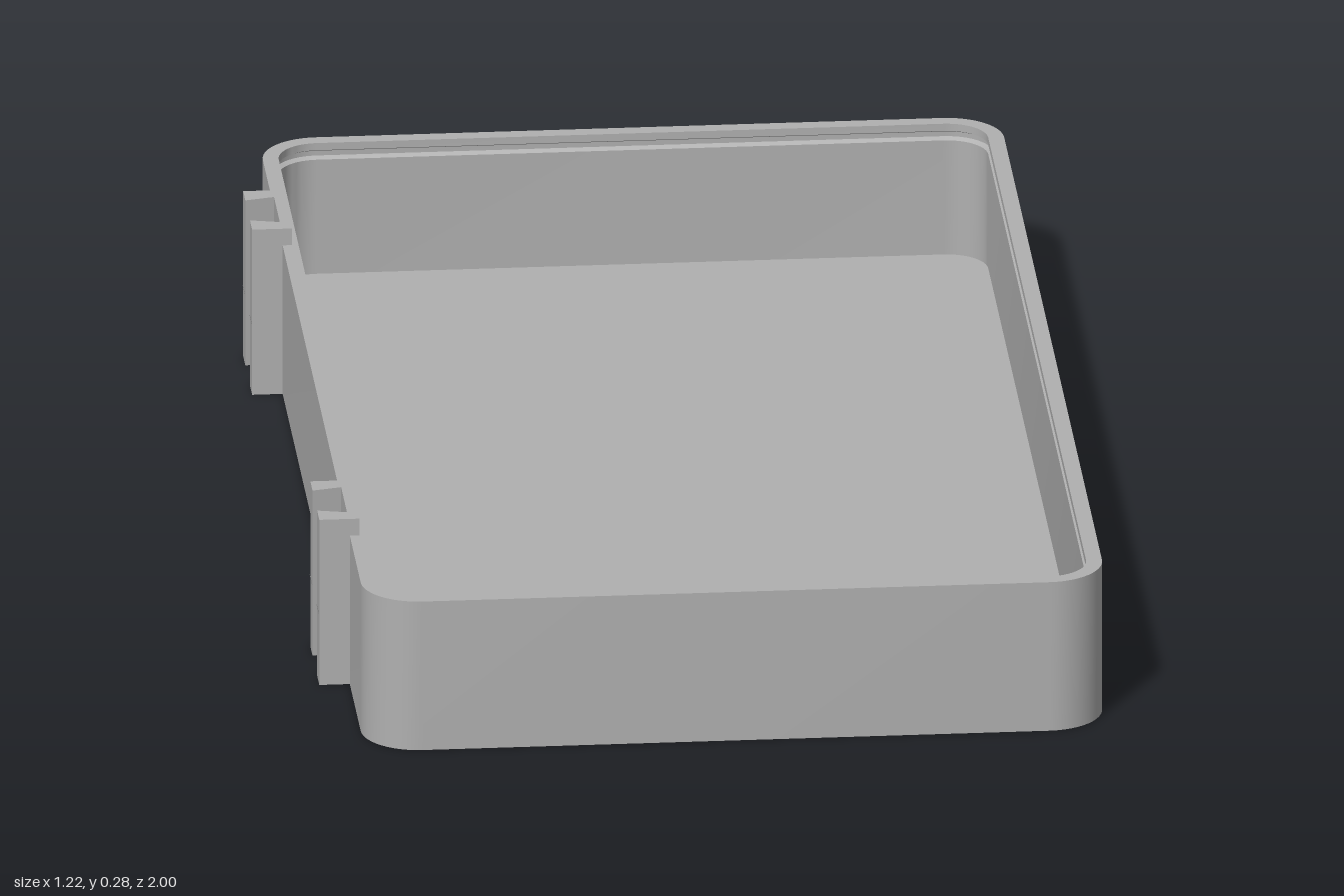
import * as THREE from 'three';
import { toCreasedNormals } from 'three/addons/utils/BufferGeometryUtils.js';

const X0 = -0.56, X1 = 0.606, HALF_Z = 1, RADIUS = 0.09;
const HEIGHT = 0.25, FLOOR = 0.03, WALL = 0.025;
const CORNER_STEPS = 12;

// Rounded rectangle, inset from the outer wall, counterclockwise seen from above
function outline(inset, y) {
  const pts = [], r = RADIUS - inset;
  const cx = (X0 + X1) / 2, hx = (X1 - X0) / 2 - RADIUS, hz = HALF_Z - RADIUS;
  const corners = [[1, -1], [-1, -1], [-1, 1], [1, 1]];
  corners.forEach(([sx, sz], q) => {
    for (let k = 0; k <= CORNER_STEPS; k++) {
      const a = (q + k / CORNER_STEPS) * Math.PI / 2;
      pts.push([cx + sx * hx + r * Math.cos(a), y, sz * hz - r * Math.sin(a)]);
    }
  });
  return pts;
}

// Sweep the wall section around the outline, closing underside and floor at the centre
function trayGeometry() {
  const section = [
    [0, 0], [0, HEIGHT], [WALL, HEIGHT], [WALL, 0.238],
    [WALL - 0.008, 0.234], [WALL - 0.008, 0.226], [WALL, 0.222], [WALL, FLOOR],
  ];
  const rows = section.map(([inset, y]) => outline(inset, y));
  const n = rows[0].length, cx = (X0 + X1) / 2, pos = [];
  const tri = (...p) => p.forEach(v => pos.push(...v));
  const last = rows[rows.length - 1];
  for (let j = 0; j < n; j++) {
    const k = (j + 1) % n;
    for (let i = 0; i < rows.length - 1; i++) {
      tri(rows[i][j], rows[i][k], rows[i + 1][k]);
      tri(rows[i][j], rows[i + 1][k], rows[i + 1][j]);
    }
    tri([cx, 0, 0], rows[0][k], rows[0][j]);
    tri([cx, FLOOR, 0], last[j], last[k]);
  }
  const g = new THREE.BufferGeometry();
  g.setAttribute('position', new THREE.Float32BufferAttribute(pos, 3));
  return toCreasedNormals(g, 0.45);
}

const TIP = -0.608, ROOT = -0.545, LUG_TOP = 0.278;

// Drilled hinge lug, thicker at its tip; outer face at z = 0, inner face towards +z
function lugGeometry() {
  const s = new THREE.Shape();
  s.moveTo(TIP, 0);
  s.lineTo(ROOT, 0);
  s.lineTo(ROOT, LUG_TOP);
  s.lineTo(TIP, LUG_TOP);
  s.closePath();
  const hole = new THREE.Path();
  hole.absarc(-0.59, 0.127, 0.02, 0, Math.PI * 2, true);
  s.holes.push(hole);
  const g = new THREE.ExtrudeGeometry(s, { depth: 1, bevelEnabled: false, curveSegments: 24 });
  const p = g.attributes.position;
  for (let i = 0; i < p.count; i++) {
    const t = (p.getX(i) - TIP) / (ROOT - TIP);
    p.setZ(i, p.getZ(i) * (0.04 - 0.015 * t));
  }
  return toCreasedNormals(g, 0.45);
}

export function createModel() {
  const model = new THREE.Group();
  model.name = 'hingedTray';
  const grey = new THREE.MeshStandardMaterial({ color: 0xb0b0b0 });
  grey.name = 'grey';
  const add = (parent, name, geometry) => {
    const m = new THREE.Mesh(geometry, grey);
    m.name = name;
    parent.add(m);
    return m;
  };

  add(model, 'tray', trayGeometry());

  // Two hinge brackets on the right side: a pair of lugs joined by a back plate
  const lug = lugGeometry();
  const mirrored = lug.clone().rotateX(Math.PI).translate(0, LUG_TOP, 0);
  // Keep the pin hole at the same height after turning the lug over
  const mp = mirrored.attributes.position;
  for (let i = 0; i < mp.count; i++) {
    const y = mp.getY(i);
    if (y > 0.01 && y < LUG_TOP - 0.01) mp.setY(i, y - (LUG_TOP - 2 * 0.127));
  }
  const width = 0.166;
  for (const [side, z] of [['front', 0.625], ['back', -0.625]]) {
    const hinge = new THREE.Group();
    hinge.name = side + 'Hinge';
    hinge.position.z = z;
    add(hinge, 'rearLug', lug).position.z = -width / 2;
    add(hinge, 'frontLug', mirrored).position.z = width / 2;
    const plate = add(hinge, 'backPlate', new THREE.BoxGeometry(0.017, LUG_TOP - 0.01, width - 0.002));
    plate.position.set(-0.5535, (LUG_TOP + 0.01) / 2, 0);
    model.add(hinge);
  }
  return model;
}
